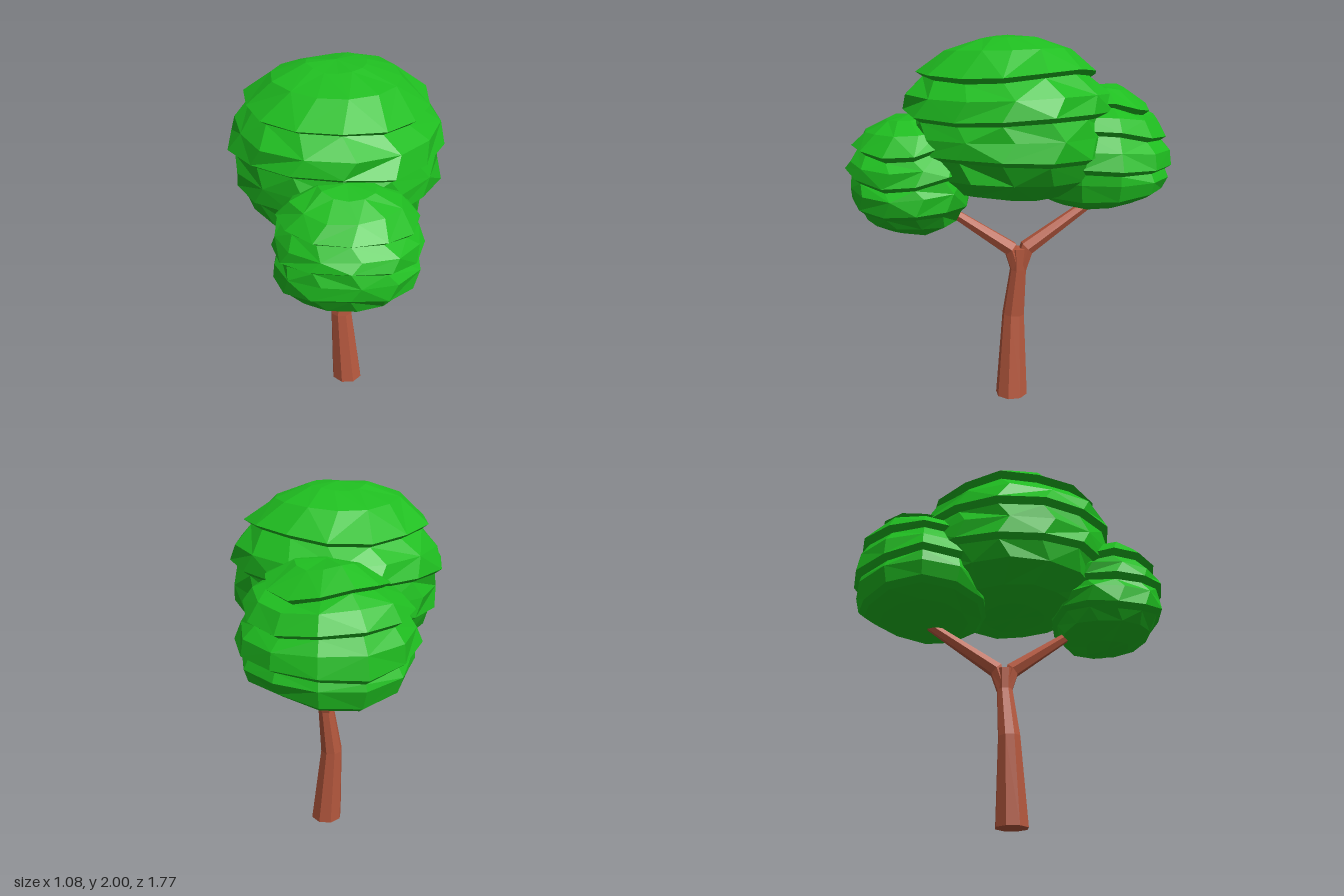
import * as THREE from 'three';

const leaf = new THREE.MeshStandardMaterial({ color: 0x1fbd20, flatShading: true });
const bark = new THREE.MeshStandardMaterial({ color: 0xb5583e, flatShading: true });

function seeded(seed) {
  return () => {
    seed = (seed * 16807) % 2147483647;
    return seed / 2147483647;
  };
}

// Skin a list of closed rings (each listed from top to bottom), capping both ends.
function skin(rings, topPoint, bottomPoint) {
  const pos = [];
  const tri = (a, b, c) => [a, b, c].forEach((p) => pos.push(p.x, p.y, p.z));
  const n = rings[0].length;
  for (let i = 0; i < n; i++) {
    const j = (i + 1) % n;
    tri(topPoint, rings[0][i], rings[0][j]);
    for (let k = 0; k < rings.length - 1; k++) {
      const [a, b, c, d] = [rings[k][i], rings[k + 1][i], rings[k + 1][j], rings[k][j]];
      if ((i + k) % 2) { tri(a, b, c); tri(a, c, d); }
      else { tri(a, b, d); tri(b, c, d); }
    }
    const last = rings[rings.length - 1];
    tri(bottomPoint, last[j], last[i]);
  }
  const g = new THREE.BufferGeometry();
  g.setAttribute('position', new THREE.Float32BufferAttribute(pos, 3));
  g.computeVertexNormals();
  return g;
}

// Leaf clump: wavy rings [height, radius factor]; 'l' marks the lip of an overhanging layer.
function clump({ name, center, size, top, bottom, profile, sides, wave, phase, seed }) {
  const rand = seeded(seed);
  const rings = [];
  const ring = (y, r, jitter, wob, twist) => {
    const pts = [];
    for (let i = 0; i < sides; i++) {
      const a = ((i + twist) / sides) * Math.PI * 2;
      const k = r * (1 + jitter[i]);
      const dy = wob * (Math.sin(2 * a + phase + y * 5) + 0.7 * Math.sin(3 * a + phase * 2 - y * 7));
      pts.push(new THREE.Vector3(
        center[0] + Math.sin(a) * size[0] * k, y + dy, center[1] + Math.cos(a) * size[1] * k));
    }
    rings.push(pts);
  };
  profile.forEach(([y, r, lip], k) => {
    const jitter = Array.from({ length: sides }, () => (rand() - 0.5) * 0.06);
    const wob = lip ? wave : wave * 0.5;
    const twist = lip ? 0 : (k % 2) * 0.25;
    ring(y, r, jitter, wob, twist);
    // underside of the overhang
    if (lip) {
      ring(y - 0.025, r - 0.035 / size[0], jitter, wob, twist);
    }
  });
  const mesh = new THREE.Mesh(
    skin(rings,
      new THREE.Vector3(center[0], top, center[1]),
      new THREE.Vector3(center[0], bottom, center[1])),
    leaf);
  mesh.name = name;
  return mesh;
}

// Tapered limb through stations [x, y, z, radius], listed from the base upward.
function limb(name, stations, sides) {
  const pts = stations.map((s) => new THREE.Vector3(s[0], s[1], s[2]));
  const rings = stations.map((s, k) => {
    const dir = pts[Math.min(k + 1, pts.length - 1)].clone().sub(pts[Math.max(k - 1, 0)]).normalize();
    if (k === 0 && s[1] === 0) dir.set(0, 1, 0);
    const q = new THREE.Quaternion().setFromUnitVectors(new THREE.Vector3(0, 1, 0), dir);
    return Array.from({ length: sides }, (_, i) => {
      const a = ((i + 0.5) / sides) * Math.PI * 2;
      return new THREE.Vector3(Math.sin(a) * s[3], 0, Math.cos(a) * s[3])
        .applyQuaternion(q).add(pts[k]);
    });
  });
  const mesh = new THREE.Mesh(skin(rings.reverse(), pts[pts.length - 1], pts[0]), bark);
  mesh.name = name;
  return mesh;
}

export function createModel() {
  const tree = new THREE.Group();
  tree.name = 'tree';

  // Crooked trunk and its two branches
  tree.add(limb('trunk', [
    [0.062, 0, 0.027, 0.09],
    [0.028, 0.47, 0.01, 0.062],
    [0.055, 0.74, -0.012, 0.045],
    [0.052, 0.86, -0.012, 0.052],
  ], 8));
  tree.add(limb('frontBranch', [
    [0.055, 0.73, -0.01, 0.04],
    [0.055, 0.86, 0.03, 0.045],
    [0.05, 1.06, 0.32, 0.028],
    [0.04, 1.16, 0.46, 0.022],
  ], 6));
  tree.add(limb('backBranch', [
    [0.055, 0.73, -0.015, 0.04],
    [0.055, 0.86, -0.06, 0.045],
    [0.05, 1.11, -0.43, 0.028],
    [0.04, 1.22, -0.58, 0.022],
  ], 6));

  // Large middle crown
  tree.add(clump({
    name: 'mainCrown', center: [-0.003, 0.035], size: [0.54, 0.56],
    top: 2, bottom: 1.15, sides: 14, wave: 0.014, phase: 0.6, seed: 11,
    profile: [
      [1.985, 0.28], [1.925, 0.6], [1.81, 0.86, 'l'], [1.7, 0.95],
      [1.61, 1, 'l'], [1.5, 0.985], [1.41, 0.975, 'l'], [1.28, 0.84],
      [1.19, 0.62], [1.155, 0.32],
    ],
  }));

  // Lower clump in front
  tree.add(clump({
    name: 'frontClump', center: [0.015, 0.56], size: [0.36, 0.325],
    top: 1.6, bottom: 0.98, sides: 12, wave: 0.02, phase: 2.1, seed: 29,
    profile: [
      [1.58, 0.38], [1.52, 0.72], [1.44, 0.92, 'l'], [1.36, 0.96],
      [1.3, 1.01, 'l'], [1.22, 0.98], [1.14, 0.97, 'l'],
      [1.05, 0.74], [0.99, 0.36],
    ],
  }));

  // Middle-height clump behind
  tree.add(clump({
    name: 'backClump', center: [-0.005, -0.47], size: [0.435, 0.405],
    top: 1.74, bottom: 1.09, sides: 12, wave: 0.02, phase: 4.2, seed: 53,
    profile: [
      [1.725, 0.35], [1.64, 0.68, 'l'], [1.58, 0.8], [1.5, 0.93, 'l'],
      [1.41, 0.96], [1.32, 1.01, 'l'], [1.25, 0.95], [1.17, 0.9, 'l'],
      [1.11, 0.6],
    ],
  }));

  return tree;
}
